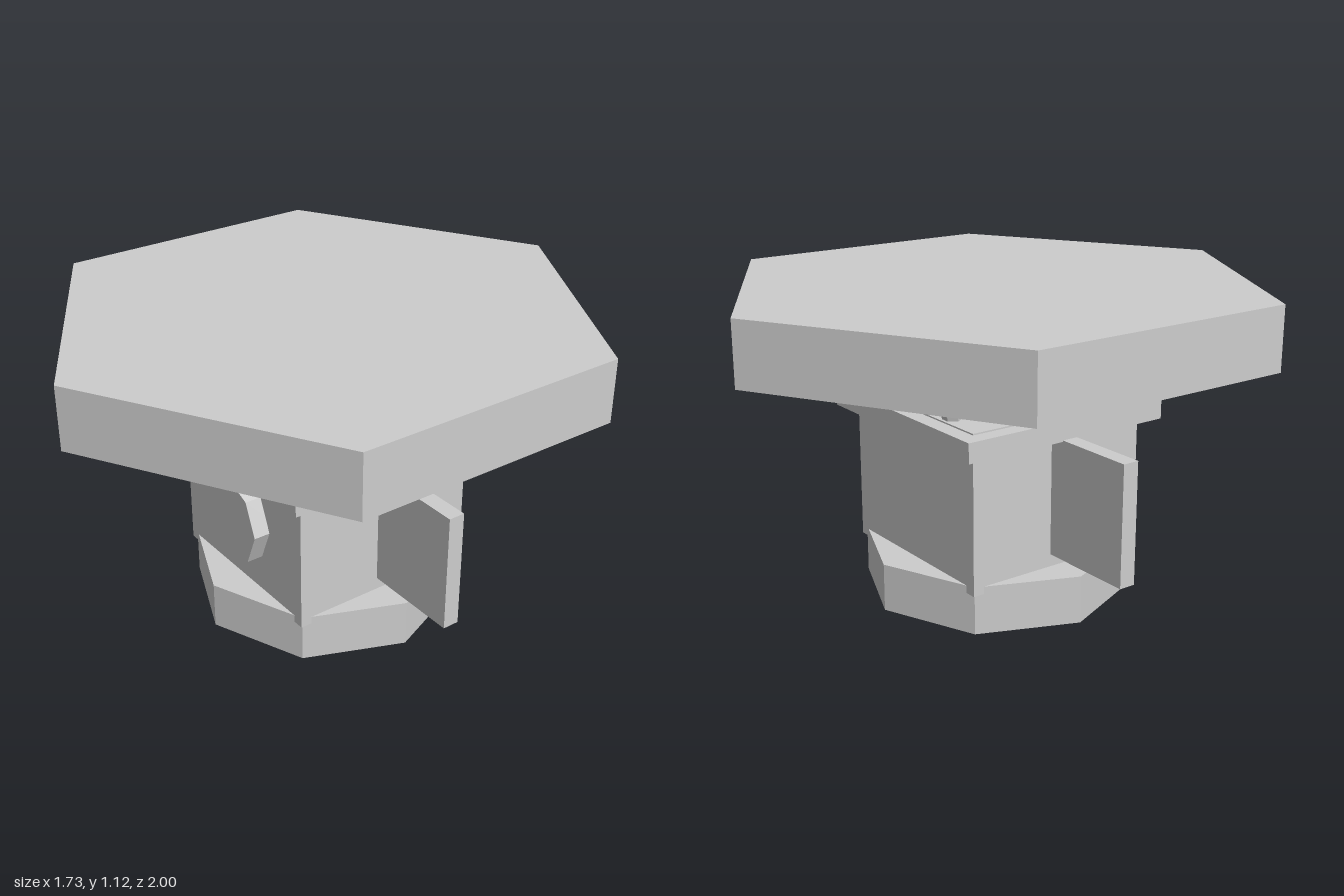
import * as THREE from 'three';

export function createModel() {
  const model = new THREE.Group();
  model.name = 'satelliteUnit';
  const grey = new THREE.MeshStandardMaterial({ color: 0xcccccc });
  grey.name = 'light grey';
  grey.flatShading = true;

  function add(name, geometry, x, y, z, parent = model) {
    const mesh = new THREE.Mesh(geometry, grey);
    mesh.name = name;
    mesh.position.set(x, y, z);
    parent.add(mesh);
    return mesh;
  }
  const prism = (radius, height, sides) => new THREE.CylinderGeometry(radius, radius, height, sides);

  // Octagonal foot and square body with its rim
  add('base', prism(0.485, 0.172, 8), 0, 0.086, 0);
  add('body', new THREE.BoxGeometry(0.71, 0.57, 0.71), 0, 0.43, 0);
  add('rim', new THREE.BoxGeometry(0.826, 0.07, 0.826), 0, 0.675, 0);

  // Octagonal front port
  add('frontPort', prism(0.17, 0.12, 8), 0, 0.43, 0.355).rotation.x = Math.PI / 2;

  // Side fins
  for (const side of [1, -1]) {
    add(side > 0 ? 'leftFin' : 'rightFin', new THREE.BoxGeometry(0.38, 0.428, 0.06), side * 0.525, 0.431, 0);
  }

  // Central post and three struts leaning outwards
  add('post', prism(0.143, 0.22, 8), 0, 0.8, 0);
  for (let i = 0; i < 3; i++) {
    const arm = new THREE.Group();
    arm.name = 'strutArm';
    arm.rotation.y = Math.PI / 2 + (i * Math.PI * 2) / 3;
    model.add(arm);
    add('strut', prism(0.035, 0.46, 6), 0, 0.72, 0.363, arm).rotation.x = Math.atan(1 / 3);
  }

  // Hexagonal top plate
  add('topPlate', prism(1, 0.225, 6), 0, 1.0025, 0);
  return model;
}
